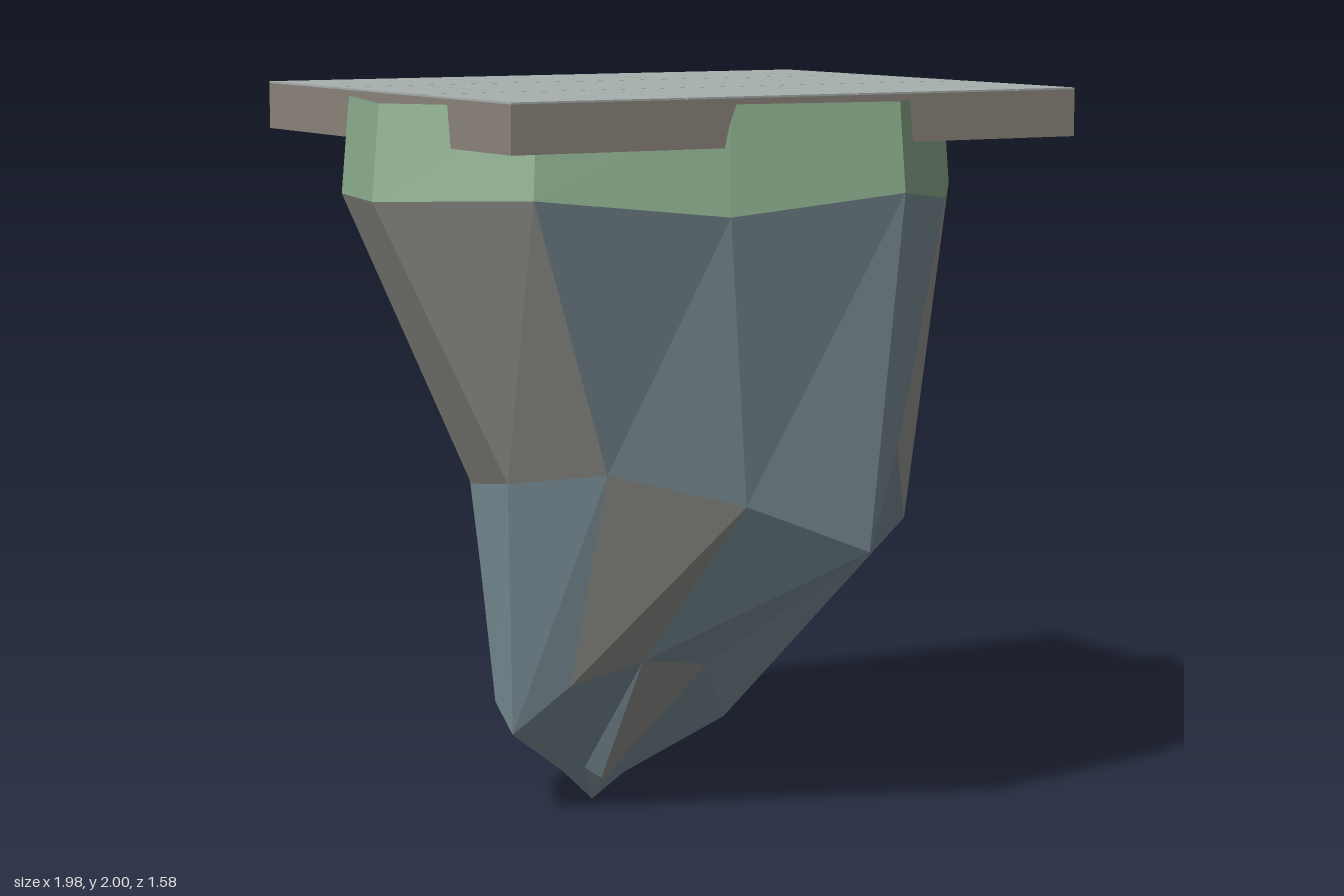
import * as THREE from 'three';

const mat = (name, color) => {
  const m = new THREE.MeshStandardMaterial({ color, flatShading: true, side: THREE.DoubleSide });
  m.name = name;
  return m;
};

// Twelve-point cross-sections, running from the front towards +x and around
const rimLow = [
  [0.25, 1.745, 0.79], [0.585, 1.70, 0.48], [0.81, 1.715, 0.17], [0.985, 1.745, -0.245],
  [0.63, 1.70, -0.60], [0.24, 1.72, -0.765], [-0.24, 1.77, -0.79], [-0.70, 1.69, -0.60],
  [-0.87, 1.72, -0.24], [-0.99, 1.73, 0.20], [-0.72, 1.745, 0.57], [-0.23, 1.695, 0.715]];
const middle = [
  [0.27, 0.775, 0.605], [0.50, 1.01, 0.39], [0.67, 0.775, 0.17], [0.785, 0.815, -0.12],
  [0.585, 0.96, -0.37], [0.275, 0.87, -0.48], [-0.04, 0.97, -0.46], [-0.42, 0.95, -0.40],
  [-0.56, 0.93, -0.10], [-0.60, 0.97, 0.19], [-0.41, 1.005, 0.39], [-0.075, 0.915, 0.54]];
const lower = [
  [0.0, 0.43, 0.21], [0.12, 0.25, 0.10], [0.20, 0.31, -0.02], [0.27, 0.25, -0.17],
  [0.20, 0.43, -0.30], [0.10, 0.36, -0.36], [-0.07, 0.37, -0.38], [-0.376, 0.335, -0.33],
  [-0.45, 0.30, -0.18], [-0.48, 0.24, -0.02], [-0.375, 0.39, 0.12], [-0.195, 0.455, 0.20]];
const tip = [-0.17, 0, -0.135];
const N = rimLow.length;
const rimTop = rimLow.map(([x, , z]) => [x * 0.975, 1.98, z * 0.975]);
const foot = lower.map((p, i) => {
  const a = (72 - i * 30) * Math.PI / 180;
  return [tip[0] + 0.09 * Math.cos(a), i % 2 ? 0.08 : 0.11, tip[2] + 0.09 * Math.sin(a)];
});
const point = lower.map(() => tip);

// Joins two rings with facets; panels listed in accents take the second material
function band(name, upper, below, materials, accents = []) {
  const pos = [];
  const geo = new THREE.BufferGeometry();
  for (let i = 0; i < N; i++) {
    const j = (i + 1) % N;
    const start = pos.length / 3;
    pos.push(...upper[i], ...below[i], ...upper[j]);
    if (below !== point) pos.push(...upper[j], ...below[i], ...below[j]);
    geo.addGroup(start, pos.length / 3 - start, accents.includes(i) ? 1 : 0);
  }
  geo.setAttribute('position', new THREE.Float32BufferAttribute(pos, 3));
  geo.computeVertexNormals();
  const mesh = new THREE.Mesh(geo, materials);
  mesh.name = name;
  return mesh;
}

function box(name, x0, x1, y0, y1, z0, z1, material) {
  const mesh = new THREE.Mesh(new THREE.BoxGeometry(x1 - x0, y1 - y0, z1 - z0), material);
  mesh.position.set((x0 + x1) / 2, (y0 + y1) / 2, (z0 + z1) / 2);
  mesh.name = name;
  return mesh;
}

export function createModel() {
  const grass = mat('grass green', 0x8fb191);
  const blue = mat('blue rock', 0x80959e);
  const grey = mat('grey rock', 0x979993);
  const base = mat('slab brown', 0x8c857c);
  const stone = mat('paving grey', 0xa8b1af);

  const model = new THREE.Group();
  model.name = 'floatingIsland';

  // Open grass rim and faceted rock underneath
  const rock = [blue, grey];
  model.add(
    band('grassRim', rimTop, rimLow, [grass]),
    band('upperRock', rimLow, middle, rock, [1, 4, 8, 9]),
    band('middleRock', middle, lower, rock, [2, 6, 10]),
    band('lowerRock', lower, foot, rock, [3, 11]),
    band('rockTip', foot, point, rock, [3, 11]));

  // Slab
  model.add(box('slab', -0.85, 0.85, 1.87, 1.995, -0.75, 0.70, base));

  // Paving tiles in staggered rows, with narrow joints
  const paving = new THREE.Group();
  paving.name = 'paving';
  const rows = [-0.75, -0.312, 0.193, 0.70];
  const even = [-0.85, -0.35, 0.157, 0.66, 0.85];
  const odd = [-0.85, -0.602, -0.098, 0.411, 0.85];
  const gap = 0.003;
  for (let r = 0; r < 3; r++) {
    const cuts = r % 2 ? odd : even;
    for (let c = 0; c < 4; c++) {
      paving.add(box('tile',
        cuts[c] + (c > 0 ? gap : 0), cuts[c + 1] - (c < 3 ? gap : 0), 1.995, 2,
        rows[r] + (r > 0 ? gap : 0), rows[r + 1] - (r < 2 ? gap : 0), stone));
    }
  }
  model.add(paving);
  return model;
}
